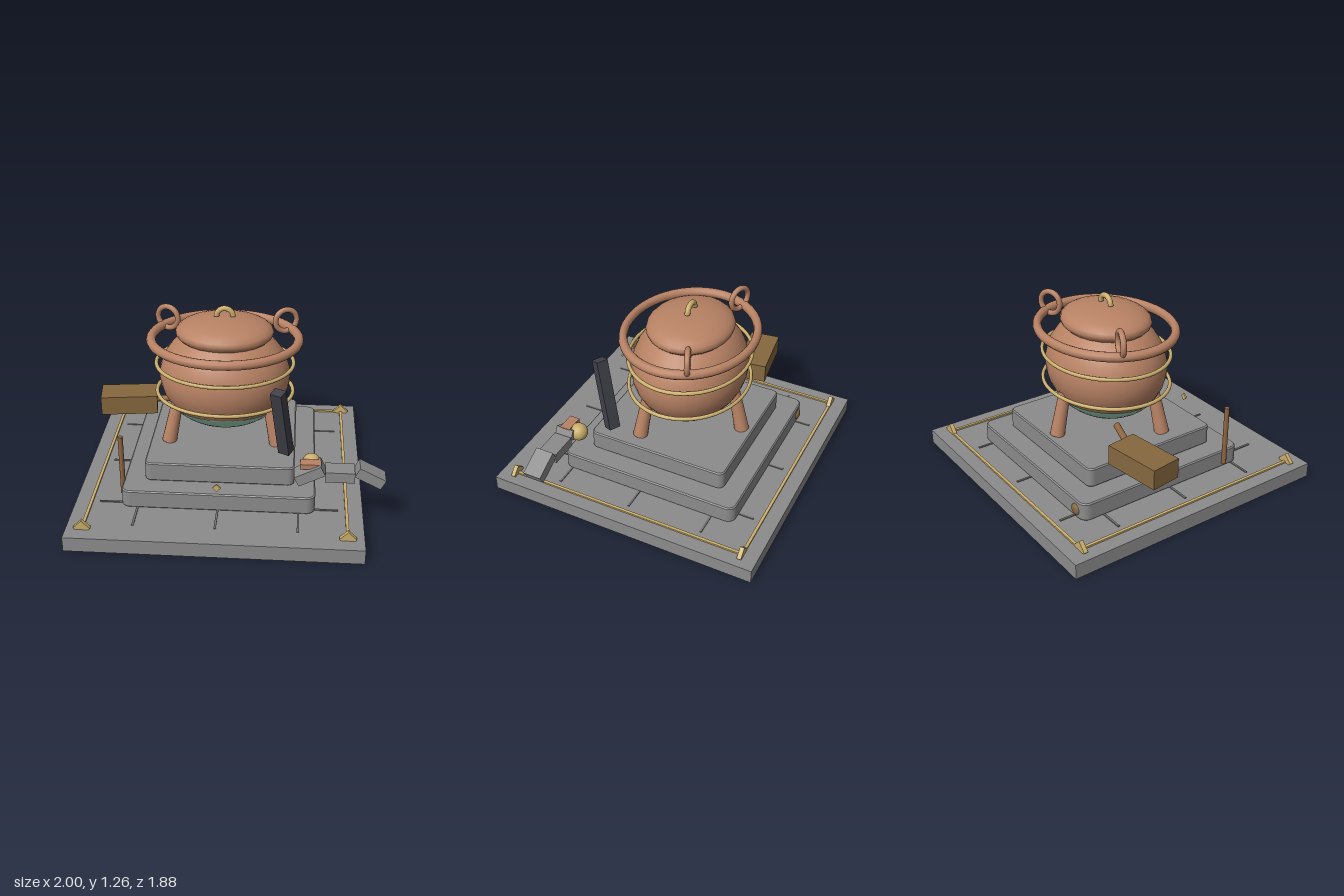
import * as THREE from 'three';

const mat = (name, color) => {
  const m = new THREE.MeshStandardMaterial({ color });
  m.name = name;
  return m;
};

export function createModel() {
  const stone = mat('stone', 0x8c8c8c);
  const seam = mat('dark stone', 0x747474);
  const copper = mat('copper', 0xb88264);
  const patina = mat('green patina', 0x9fd6bc);
  const gold = mat('gold', 0xcaae6c);
  const wood = mat('wood', 0x86683f);
  const rodWood = mat('reddish wood', 0x8f6540);
  const slate = mat('dark slate', 0x40404a);

  const model = new THREE.Group();
  const CX = -0.065, PZ = -0.07, SQUASH = 0.87;

  const add = (name, geometry, material, x, y, z, parent = model) => {
    const mesh = new THREE.Mesh(geometry, material);
    mesh.name = name;
    mesh.position.set(x, y, z);
    parent.add(mesh);
    return mesh;
  };
  const box = (name, w, h, d, material, x, y, z) =>
    add(name, new THREE.BoxGeometry(w, h, d), material, x, y, z);

  // Tapered round bar between two points
  const bar = (name, from, to, r0, r1, material, sides = 16) => {
    const a = new THREE.Vector3(...from), b = new THREE.Vector3(...to);
    const dir = b.clone().sub(a);
    const mid = a.clone().add(b).multiplyScalar(0.5);
    const mesh = add(name, new THREE.CylinderGeometry(r1, r0, dir.length(), sides), material, mid.x, mid.y, mid.z);
    mesh.quaternion.setFromUnitVectors(new THREE.Vector3(0, 1, 0), dir.normalize());
    return mesh;
  };

  // Square slab with rounded corners and a fine bevel
  const tier = (name, size, y0, y1, radius) => {
    const bevel = 0.008, h = size / 2 - bevel, r = radius;
    const s = new THREE.Shape();
    s.moveTo(-h + r, -h);
    s.lineTo(h - r, -h);
    s.absarc(h - r, -h + r, r, -Math.PI / 2, 0);
    s.absarc(h - r, h - r, r, 0, Math.PI / 2);
    s.absarc(-h + r, h - r, r, Math.PI / 2, Math.PI);
    s.absarc(-h + r, -h + r, r, Math.PI, Math.PI * 1.5);
    const g = new THREE.ExtrudeGeometry(s, {
      depth: y1 - y0 - 2 * bevel, bevelEnabled: true, bevelSize: bevel,
      bevelThickness: bevel, bevelSegments: 1, curveSegments: 6,
    });
    g.rotateX(-Math.PI / 2);
    add(name, g, stone, CX, y0 + bevel, -0.05);
  };

  // Stepped stone base
  box('baseSlab', 1.875, 0.1, 1.88, stone, CX, 0.05, 0);
  tier('lowerTier', 1.256, 0.1, 0.223, 0.05);
  tier('upperTier', 0.98, 0.223, 0.355, 0.035);

  // Paving seams running out from under the tiers
  for (const k of [-0.522, 0, 0.522]) {
    box('seamAlongZ', 0.014, 0.008, 1.56, seam, CX + k, 0.102, 0);
    box('seamAlongX', 1.56, 0.008, 0.014, seam, CX, 0.102, k);
  }

  // Gold inlay on three sides with corner diamonds
  box('backInlay', 1.67, 0.012, 0.02, gold, CX, 0.105, -0.835);
  for (const side of [-1, 1]) {
    const x = CX + side * 0.833;
    box('sideInlay', 0.02, 0.012, 1.67, gold, x, 0.105, 0);
    for (const z of [-0.833, 0.833])
      box('cornerDiamond', 0.077, 0.077, 0.028, gold, x, 0.11, z).rotation.z = Math.PI / 4;
  }
  box('frontDiamond', 0.038, 0.038, 0.012, gold, CX, 0.302, 0.618).rotation.z = Math.PI / 4;

  // Cauldron, slightly flattened front to back
  const pot = new THREE.Group();
  pot.name = 'cauldron';
  pot.position.set(CX, 0, PZ);
  pot.scale.z = SQUASH;
  model.add(pot);
  add('potBody', new THREE.SphereGeometry(1, 32, 20), copper, 0, 0.78, 0, pot).scale.set(0.44, 0.358, 0.44);
  add('patinaBottom', new THREE.SphereGeometry(1, 32, 10, 0, Math.PI * 2, 2.13, Math.PI - 2.13),
    patina, 0, 0.78, 0, pot).scale.set(0.447, 0.364, 0.447);
  add('lid', new THREE.SphereGeometry(1, 24, 14), copper, 0, 1.087, 0, pot).scale.set(0.327, 0.101, 0.327);
  const ring = (name, R, r, material, y) =>
    add(name, new THREE.TorusGeometry(R, r, 12, 48).rotateX(Math.PI / 2), material, 0, y, 0, pot);
  ring('rim', 0.49, 0.032, copper, 1.035);
  ring('upperBand', 0.461, 0.013, gold, 0.866);
  ring('lowerBand', 0.461, 0.013, gold, 0.66);

  // Lid grip and carrying loops
  add('lidGrip', new THREE.TorusGeometry(0.054, 0.018, 10, 20, Math.PI), gold, CX, 1.193, PZ);
  for (const side of [-1, 1])
    add('carryLoop', new THREE.TorusGeometry(0.076, 0.019, 10, 28), copper, CX + side * 0.4, 1.104, -0.24)
      .rotation.y = side * 0.39;

  // Three splayed legs
  for (const angle of [30, 150, 270]) {
    const a = THREE.MathUtils.degToRad(angle);
    const at = (r, y) => [CX + Math.cos(a) * r, y, PZ + Math.sin(a) * r * 0.93];
    bar('leg', at(0.42, 0.353), at(0.35, 0.65), 0.05, 0.038, copper);
  }

  // Wooden mallet beside the pot
  box('malletHead', 0.395, 0.134, 0.208, wood, -0.767, 0.442, -0.286).rotation.y = 0.13;
  bar('malletHandle', [-0.6, 0.46, -0.27], [-0.4, 0.5, -0.22], 0.022, 0.022, rodWood, 12);

  // Upright rod and rear knob
  bar('uprightRod', [-0.7, 0.128, 0.447], [-0.7, 0.55, 0.447], 0.017, 0.017, rodWood, 12);
  add('rearKnob', new THREE.SphereGeometry(0.04, 16, 12), wood, -0.605, 0.155, -0.675).scale.z = 0.5;

  // Leaning slate block
  box('leaningSlate', 0.08, 0.5, 0.068, slate, 0.335, 0.645, 0.355).rotation.set(0.25, -0.5, 0, 'YXZ');

  // Floating arc of stone blocks with copper piece and gold ball
  for (const i of [-1, 0, 1])
    box('arcBlock', 0.186, 0.07, 0.124, stone, 0.71 + i * 0.19, 0.397, 0.535).rotation.z = -i * 0.47;
  box('copperBlock', 0.132, 0.034, 0.07, copper, 0.524, 0.452, 0.536);
  add('goldBall', new THREE.SphereGeometry(0.06, 20, 14), gold, 0.53, 0.425, 0.464);
  add('tinyStud', new THREE.SphereGeometry(0.008, 8, 6), gold, 0.215, 0.905, 0.288);

  return model;
}
